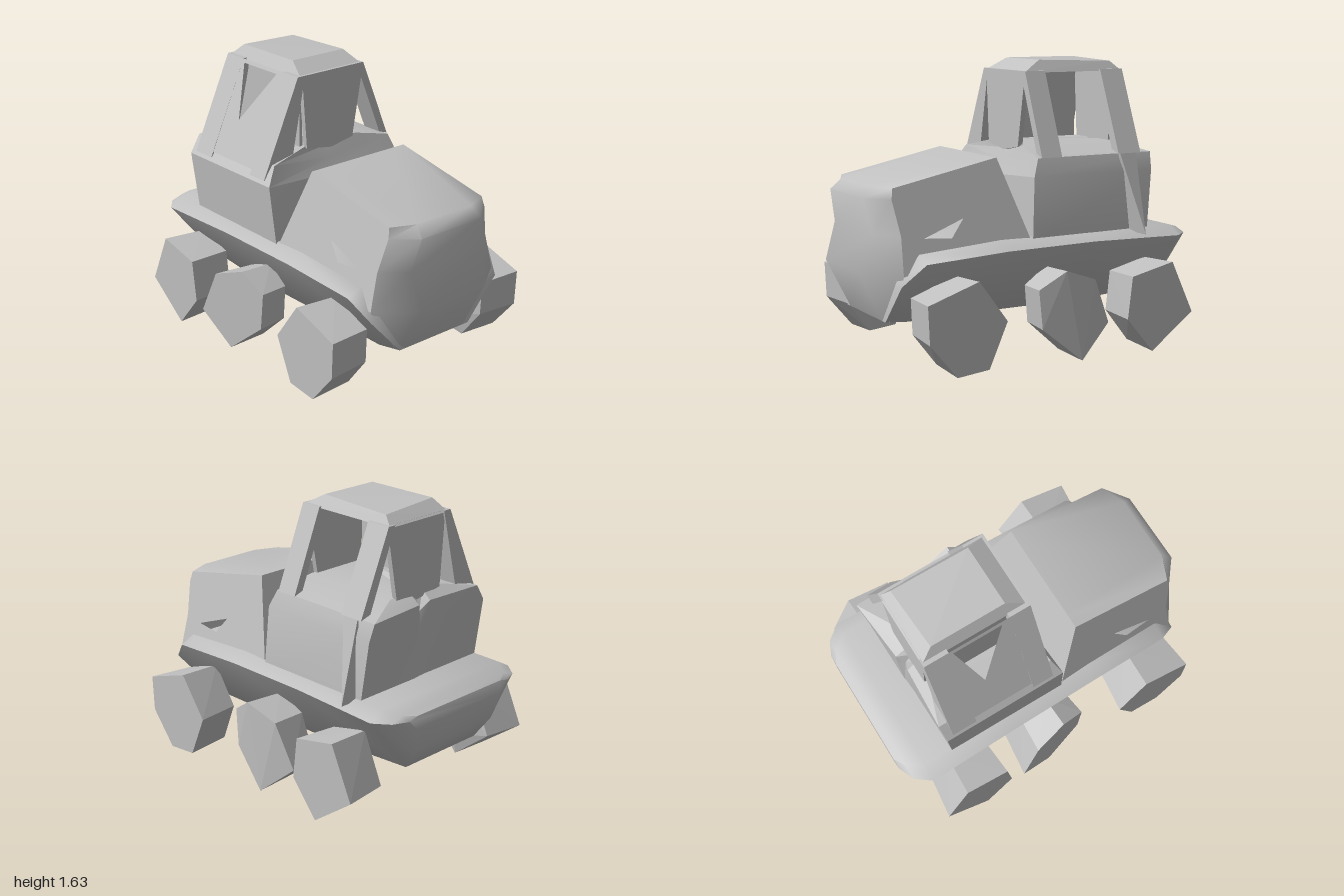
import * as THREE from 'three';
import { toCreasedNormals } from 'three/addons/utils/BufferGeometryUtils.js';
import { ConvexGeometry } from 'three/addons/geometries/ConvexGeometry.js';

const bodyGrey = new THREE.MeshStandardMaterial({ color: 0xc0c0c0, side: THREE.DoubleSide });
bodyGrey.name = 'body grey';

function add(parent, name, geometry) {
  const m = new THREE.Mesh(geometry, bodyGrey);
  m.name = name;
  parent.add(m);
}

// Joins rings of points; closed rings get end caps; edges under the crease angle are smooth
function loft(rings, closed, crease) {
  const out = [];
  const tri = (...pts) => pts.forEach((p) => out.push(...p));
  const n = rings[0].length;
  for (let i = 0; i < rings.length - 1; i++) {
    for (let j = 0; j < (closed ? n : n - 1); j++) {
      const k = (j + 1) % n;
      const a = rings[i][j], b = rings[i][k], c = rings[i + 1][k], d = rings[i + 1][j];
      tri(a, b, c);
      tri(a, c, d);
    }
  }
  if (closed) {
    const s = rings[0], e = rings[rings.length - 1];
    for (let j = 1; j < n - 1; j++) {
      tri(s[0], s[j + 1], s[j]);
      tri(e[0], e[j], e[j + 1]);
    }
  }
  const g = new THREE.BufferGeometry();
  g.setAttribute('position', new THREE.Float32BufferAttribute(out, 3));
  return toCreasedNormals(g, crease);
}

const convex = (pts) => new ConvexGeometry(pts.map((p) => new THREE.Vector3(...p)));

// Thin side panel drawn as (z, y) points with a hole, leaning by a rule for x
function leaningPanel(outline, hole, xAt) {
  const pts = (list) => list.map(([z, y]) => new THREE.Vector2(z, y));
  const shape = new THREE.Shape(pts(outline));
  shape.holes.push(new THREE.Path(pts(hole)));
  const g = new THREE.ShapeGeometry(shape);
  const p = g.attributes.position;
  for (let i = 0; i < p.count; i++) {
    const z = p.getX(i), y = p.getY(i);
    p.setXYZ(i, xAt(y, z), y, z);
  }
  g.computeVertexNormals();
  return g;
}

// Boat-like chassis: z, keel half width, keel y, rim half width, rim y, deck y
function hull() {
  const sections = [
    [-0.99, 0.34, 0.56, 0.4, 0.62, 0.635],
    [-0.95, 0.31, 0.4, 0.49, 0.62, 0.645],
    [-0.86, 0.28, 0.27, 0.56, 0.62, 0.67],
    [-0.3, 0.31, 0.25, 0.55, 0.63, 0.67],
    [0.25, 0.31, 0.25, 0.54, 0.62, 0.67],
    [0.74, 0.3, 0.24, 0.53, 0.59, 0.63],
    [0.86, 0.26, 0.24, 0.47, 0.47, 0.5],
  ];
  return loft(sections.map(([z, kw, ky, rw, ry, dy]) => [
    [-kw, ky, z], [kw, ky, z], [rw, ry, z], [rw * 0.84, dy, z], [-rw * 0.84, dy, z], [-rw, ry, z],
  ]), true, 1.1);
}

const hoodWidth = (y, z) => 0.455 - 0.25 * (y - 0.66) - 0.05 * (z - 0.2);

// Nose, hood top and sloping hood back: y, centre z, flat half width, side z
function hoodShell() {
  const rows = [
    [0.24, 0.86, 0.22, 0.84], [0.52, 1.0, 0.23, 0.84], [0.73, 0.93, 0.26, 0.83],
    [0.92, 0.97, 0.22, 0.86], [0.98, 0.91, 0.2, 0.85], [1.11, 0.22, 0.25, 0.22],
    [0.66, 0.07, 0.25, 0.07],
  ];
  return loft(rows.map(([y, z, w, sz]) => {
    const o = y < 0.3 ? 0.27 : hoodWidth(y, sz);
    return [[-o, y, sz], [-w, y, z], [w, y, z], [o, y, sz]];
  }), false, 1.1);
}

// Cab body: y, right half width, left half width, front z, rear z left and right, centre y, rear centre z
function cabBody() {
  const rows = [
    [0.64, 0.47, 0.47, 0.06, -0.7, -0.68, 0.64, -0.69],
    [1.0, 0.5, 0.45, 0.04, -0.74, -0.71, 0.97, -0.69],
    [1.1, 0.43, 0.42, 0.0, -0.75, -0.72, 1.05, -0.68],
    [1.15, 0.19, 0.19, -0.03, -0.64, -0.64, 1.12, -0.64],
  ];
  return loft(rows.map(([y, r, l, f, bl, br, cy, c]) => [
    [-r, y, f], [0, cy, f - 0.02], [l, y, f], [l, y, bl], [0.04, y, (bl + c) / 2],
    [0, cy, c], [-0.06, y, (br + c) / 2], [-r, y, br],
  ]), true, 0.3);
}

// Tapered post between waist points and the roof edge
function pillar(side, z0, z1, foot) {
  const pts = [];
  for (const z of [z0, z1]) {
    pts.push([side * 0.19, 1.57, z], [side * 0.24, 1.57, z]);
    foot.forEach(([x, y]) => pts.push([side * x, y, z]));
  }
  return convex(pts);
}

// Chunky faceted wheel: its outer face tapers to the ends (slant) or to one end (skew)
function wheel(side, outline, slant, skew) {
  const cz = outline.reduce((s, p) => s + p[0], 0) / outline.length;
  const pts = [[side * 0.41, 0.15, cz], [side * 0.41, 0.4, cz]];
  outline.forEach(([z, y]) => {
    pts.push([side * (0.7 - slant * Math.abs(z - cz) - skew * (z - cz + 0.2)), y, z]);
    pts.push([side * 0.44, 0.26 + (y - 0.26) * 0.95, cz + (z - cz) * 0.88]);
  });
  return convex(pts);
}

export function createModel() {
  const model = new THREE.Group();
  model.name = 'sixWheeledTruck';

  add(model, 'hull', hull());

  // Hood with a wedge-shaped opening low on each side
  const hood = new THREE.Group();
  hood.name = 'hood';
  add(hood, 'hoodShell', hoodShell());
  const hoodOutline = [
    [0.84, 0.52], [0.83, 0.73], [0.86, 0.92], [0.85, 0.98], [0.22, 1.11], [0.07, 0.66], [0.5, 0.61],
  ];
  const wedge = [[0.7, 0.71], [0.46, 0.8], [0.54, 0.7]];
  for (const [name, side] of [['hoodSideLeft', 1], ['hoodSideRight', -1]]) {
    add(hood, name, leaningPanel(hoodOutline, wedge, (y, z) => side * hoodWidth(y, z)));
  }
  model.add(hood);

  // Cab with closed front and back panels and open corners
  const cab = new THREE.Group();
  cab.name = 'cab';
  add(cab, 'cabBody', cabBody());
  for (const [name, z, t] of [['windshield', -0.02, -0.03], ['rearPanel', -0.66, 0.03]]) {
    const pts = [];
    for (const d of [z, z + t]) {
      pts.push([-0.18, 1.14, d], [0, 1.11, d], [0.16, 1.14, d], [0.24, 1.57, d], [-0.21, 1.57, d]);
    }
    add(cab, name, convex(pts));
  }
  add(cab, 'roof', convex([
    [-0.22, 1.56, -0.02], [0.23, 1.56, -0.02], [0.23, 1.56, -0.67], [-0.22, 1.56, -0.67],
    [-0.18, 1.63, -0.14], [0.19, 1.63, -0.14], [0.2, 1.615, -0.61], [-0.18, 1.63, -0.59],
  ]));
  add(cab, 'frontPillarLeft', pillar(1, -0.02, -0.15, [[0.37, 1.12], [0.43, 1.1]]));
  add(cab, 'frontPillarRight', pillar(-1, -0.02, -0.15, [[0.28, 1.13], [0.49, 1.02]]));
  add(cab, 'rearPillarLeft', pillar(1, -0.52, -0.67, [[0.37, 1.12], [0.44, 1.1]]));
  add(cab, 'rearPillarRight', pillar(-1, -0.52, -0.67, [[0.3, 1.12], [0.49, 1.02]]));

  // Right side: leaning outer panel with a pointed opening and an upright inner wall
  add(cab, 'rightSidePanel', leaningPanel(
    [[-0.15, 1.57], [-0.15, 1.05], [-0.52, 1.05], [-0.52, 1.57]],
    [[-0.2, 1.55], [-0.5, 1.55], [-0.39, 1.26]],
    (y) => -(0.24 + 0.45 * (1.57 - y))));
  add(cab, 'rightInnerWall', new THREE.BoxGeometry(0.02, 0.45, 0.56).translate(-0.195, 1.345, -0.335));

  // Flared strip running down from the rear left pillar to the rim
  add(cab, 'rearLeftFlare', convex([
    [0.38, 1.12, -0.53], [0.43, 1.12, -0.53], [0.43, 1.12, -0.64],
    [0.44, 0.66, -0.56], [0.55, 0.64, -0.64], [0.44, 0.66, -0.67],
  ]));
  model.add(cab);

  // Three wheels on each side: name, (z, y) outline, slant on the left, skew on the right
  const wheels = [
    ['frontWheel', [[0.82, 0.41], [0.52, 0.51], [0.35, 0.28], [0.46, 0.03], [0.65, 0.01], [0.81, 0.2]], 0, 0],
    ['middleWheel', [[-0.03, 0.51], [-0.23, 0.44], [-0.34, 0.18], [-0.13, 0.0], [0.1, 0.19], [0.12, 0.41]], 0.3, 0.2],
    ['rearWheel', [[-0.45, 0.44], [-0.72, 0.5], [-0.86, 0.2], [-0.59, 0.0], [-0.42, 0.2]], 0, 0],
  ];
  for (const [name, outline, slant, skew] of wheels) {
    add(model, name + 'Left', wheel(1, outline, slant, 0));
    add(model, name + 'Right', wheel(-1, outline, 0, skew));
  }
  return model;
}
